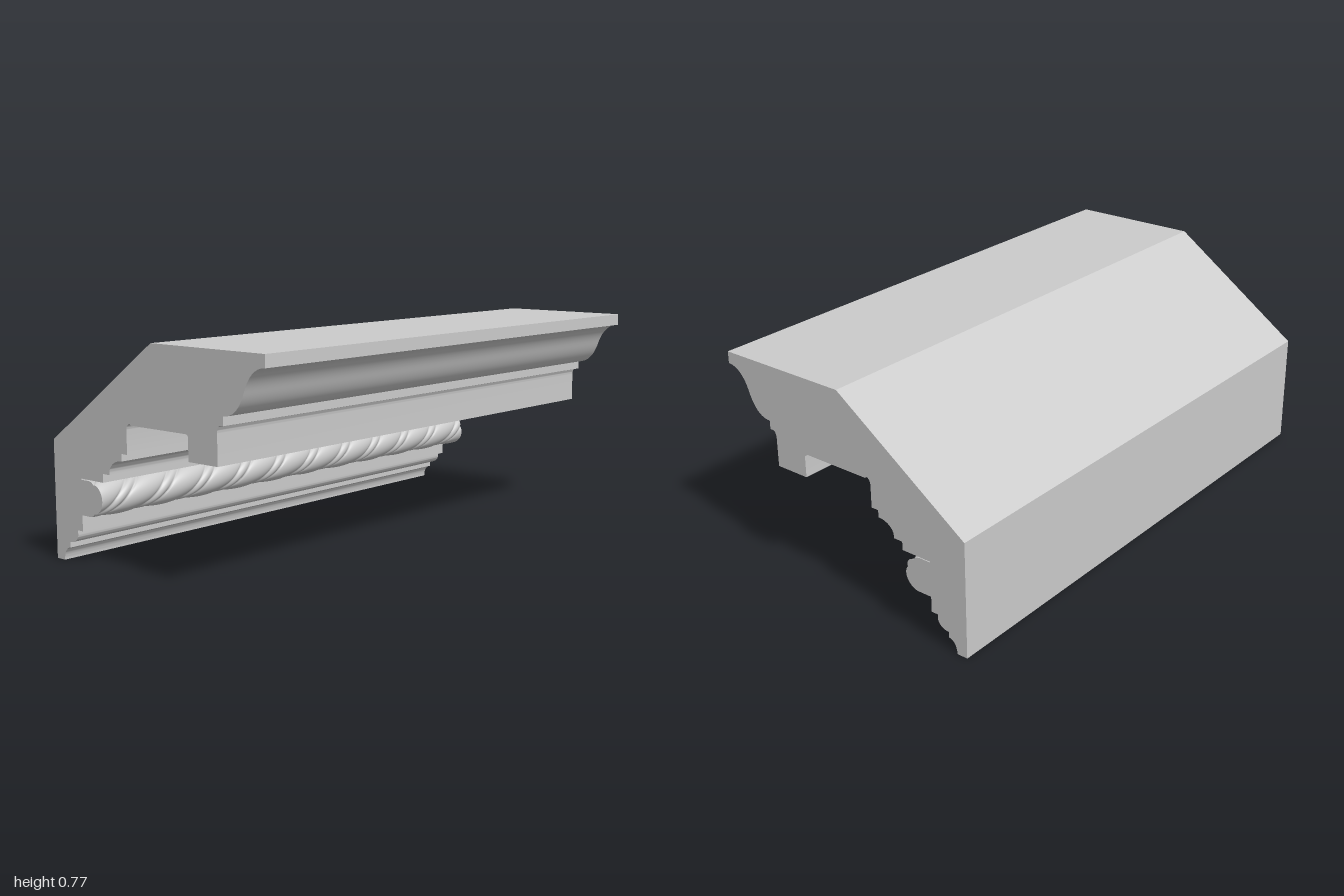
import * as THREE from 'three';
import { toCreasedNormals } from 'three/addons/utils/BufferGeometryUtils.js';

const LENGTH = 2;
const grey = new THREE.MeshStandardMaterial({ color: 0xcccccc });
const greyDouble = new THREE.MeshStandardMaterial({ color: 0xcccccc, side: THREE.DoubleSide });

// Moulding cross-section, drawn as (z, y)
function mouldingProfile() {
  const s = new THREE.Shape();
  const line = (...pts) => pts.forEach(([z, y]) => s.lineTo(z, y));
  // quarter ellipse from the current point, bending round a corner point
  const quarter = (cz, cy, z, y) => {
    const k = 0.5523, p = s.currentPoint;
    s.bezierCurveTo(p.x + (cz - p.x) * k, p.y + (cy - p.y) * k, z + (cz - z) * k, y + (cy - y) * k, z, y);
  };
  s.moveTo(-0.505, 0);
  // bottom cove and ovolo
  line([-0.465, 0]);
  quarter(-0.465, 0.048, -0.432, 0.048);
  line([-0.432, 0.068]);
  quarter(-0.388, 0.068, -0.388, 0.1);
  line([-0.388, 0.115], [-0.362, 0.115]);
  // recess behind the rope, then the stepped cove
  line([-0.362, 0.297], [-0.248, 0.297], [-0.248, 0.327], [-0.213, 0.327], [-0.213, 0.335]);
  quarter(-0.213, 0.38, -0.15, 0.38);
  line([-0.15, 0.405], [-0.122, 0.405], [-0.122, 0.485]);
  // soffit channel and drip block
  quarter(-0.122, 0.508, -0.105, 0.508);
  line([-0.1, 0.503], [0.16, 0.503]);
  quarter(0.17, 0.503, 0.17, 0.493);
  line([0.17, 0.417], [0.3, 0.417], [0.3, 0.52]);
  quarter(0.3, 0.545, 0.315, 0.545);
  line([0.327, 0.545], [0.327, 0.575]);
  // crowning S-curve, flat top and sloping back
  s.bezierCurveTo(0.375, 0.575, 0.4, 0.61, 0.417, 0.655);
  s.bezierCurveTo(0.437, 0.71, 0.47, 0.733, 0.505, 0.733);
  line([0.505, 0.775], [0.005, 0.775], [-0.505, 0.415]);
  s.closePath();
  return s;
}

// Rope cross-section at x: rounded front with twisting strands, running back to the wall
const ROPE = { z: -0.32, y: 0.232, wall: -0.37, strands: 2, pitch: 0.374, sides: 40, steps: 400 };

function ropeSection(x) {
  const pts = [];
  for (let i = 0; i <= ROPE.sides; i++) {
    const a = -Math.PI / 2 + (Math.PI * i) / ROPE.sides;
    const turns = ROPE.strands * (a / (2 * Math.PI) - x / ROPE.pitch);
    const t = turns - Math.floor(turns);
    // broad strand followed by a thin bead
    const r = t < 0.72
      ? 0.053 + 0.012 * Math.sqrt(Math.sin((Math.PI * t) / 0.72))
      : 0.053 + 0.008 * Math.sin((Math.PI * (t - 0.72)) / 0.28);
    pts.push(new THREE.Vector2(ROPE.z + r * Math.cos(a), ROPE.y + r * Math.sin(a)));
  }
  pts.unshift(new THREE.Vector2(ROPE.wall, pts[0].y));
  pts.push(new THREE.Vector2(ROPE.wall, pts[pts.length - 1].y));
  return pts;
}

function ropeGeometry() {
  const pos = [], idx = [], n = ROPE.sides + 3;
  for (let u = 0; u <= ROPE.steps; u++) {
    const x = -LENGTH / 2 + (LENGTH * u) / ROPE.steps;
    for (const p of ropeSection(x)) pos.push(x, p.y, p.x);
  }
  for (let u = 0; u < ROPE.steps; u++) {
    for (let v = 0; v < n - 1; v++) {
      const a = u * n + v, b = a + n;
      idx.push(a, b, b + 1, a, b + 1, a + 1);
    }
  }
  const g = new THREE.BufferGeometry();
  g.setAttribute('position', new THREE.Float32BufferAttribute(pos, 3));
  g.setIndex(idx);
  g.computeVertexNormals();
  return g;
}

export function createModel() {
  const model = new THREE.Group();
  model.name = 'cornice';

  const add = (name, geometry, material, parent = model) => {
    const mesh = new THREE.Mesh(geometry, material);
    mesh.name = name;
    parent.add(mesh);
  };

  // Main moulding, extruded along x
  const body = new THREE.ExtrudeGeometry(mouldingProfile(), { depth: LENGTH, bevelEnabled: false, curveSegments: 14 });
  body.rotateY(-Math.PI / 2).translate(LENGTH / 2, 0, 0);
  add('moulding', toCreasedNormals(body, 0.5), grey);

  // Twisted rope with closed ends
  const rope = new THREE.Group();
  rope.name = 'rope';
  add('ropeStrands', ropeGeometry(), grey, rope);
  for (const [name, x] of [['ropeEndRight', -LENGTH / 2], ['ropeEndLeft', LENGTH / 2]]) {
    const cap = new THREE.ShapeGeometry(new THREE.Shape(ropeSection(x)));
    cap.rotateY(-Math.PI / 2).translate(x, 0, 0);
    add(name, cap, greyDouble, rope);
  }
  model.add(rope);
  return model;
}
